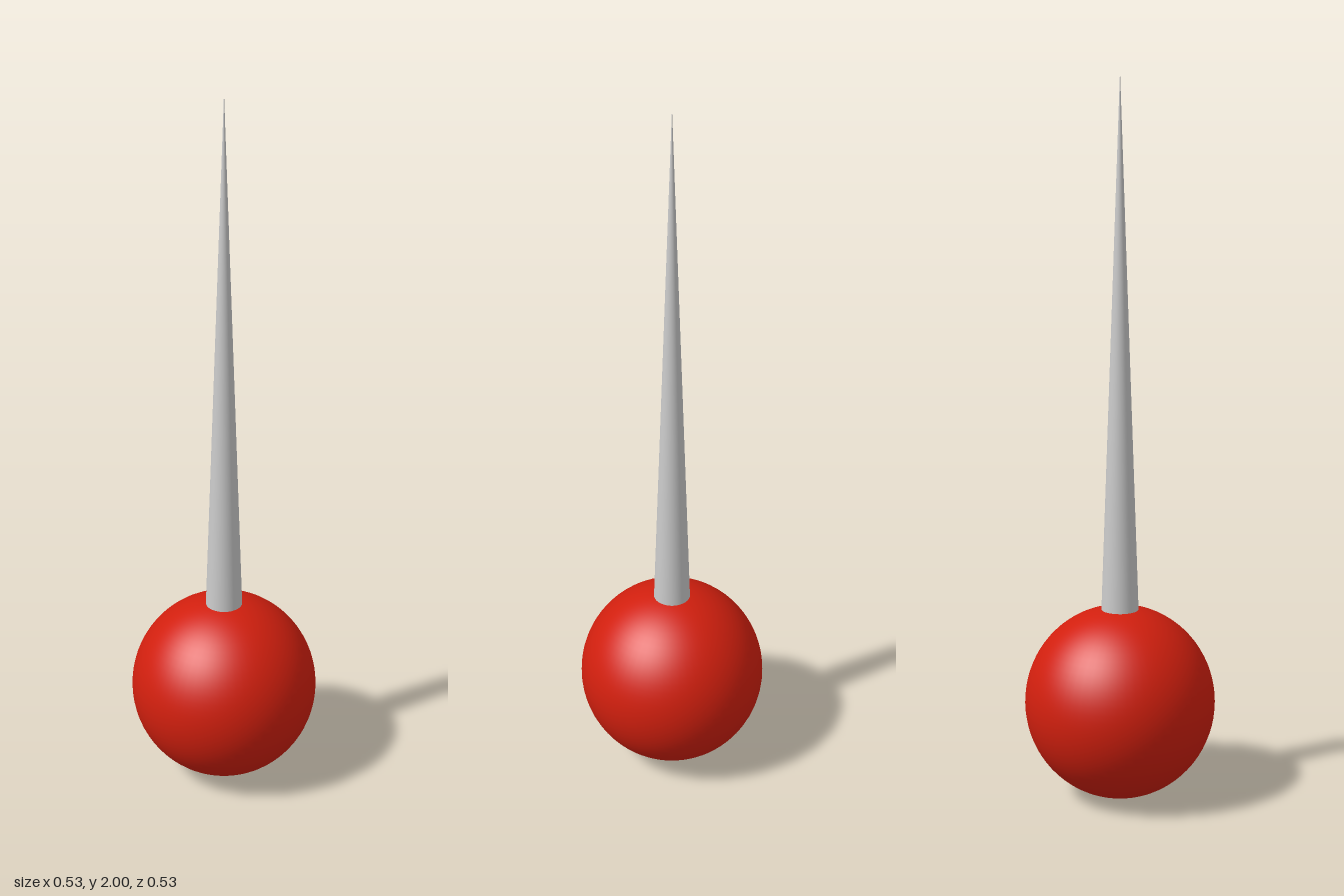
import * as THREE from 'three';

export function createModel() {
  const model = new THREE.Group();
  const ballRadius = 0.265, ballHalfHeight = 0.27;
  const spikeBase = 0.52, spikeRadius = 0.052, top = 2;

  // Round red head, very slightly taller than wide
  const ball = new THREE.Mesh(
    new THREE.SphereGeometry(ballRadius, 64, 40),
    new THREE.MeshStandardMaterial({ color: 0xd11f0e })
  );
  ball.name = 'ballHead';
  ball.scale.y = ballHalfHeight / ballRadius;
  ball.position.y = ballHalfHeight;
  model.add(ball);

  // Slender tapering needle, its foot sunk into the head
  const needle = new THREE.Mesh(
    new THREE.ConeGeometry(spikeRadius, top - spikeBase, 48, 8),
    new THREE.MeshStandardMaterial({ color: 0xcccccc })
  );
  needle.name = 'needle';
  needle.position.y = (top + spikeBase) / 2;
  model.add(needle);

  return model;
}
